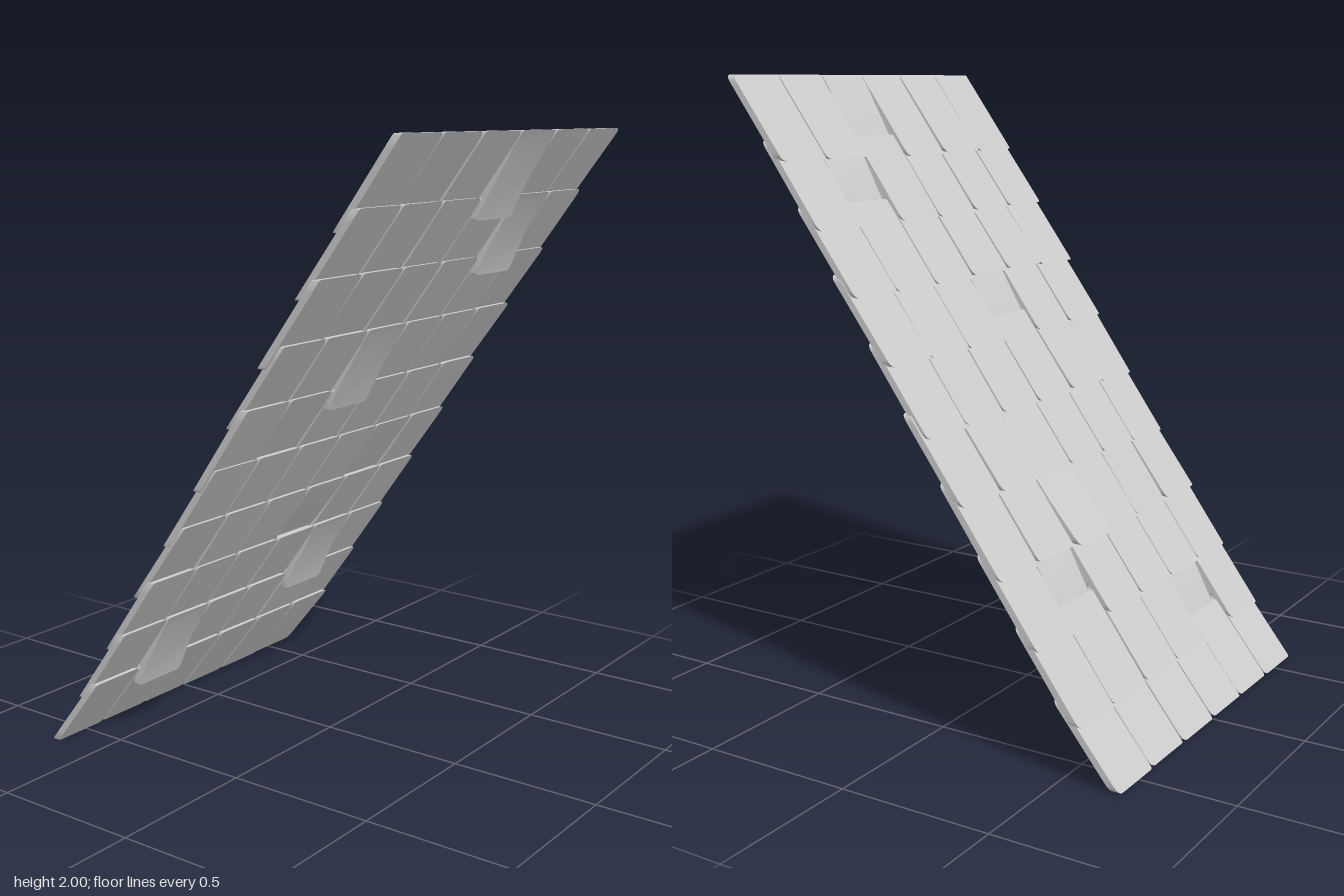
import * as THREE from 'three';
import { toCreasedNormals } from 'three/addons/utils/BufferGeometryUtils.js';

const ROWS = 10, COLS = 6;
const PITCH_Y = 0.1955, PITCH_Z = 0.1287, PITCH_X = 0.21;
const DEPTH = 0.027, WIDTH = 0.204;

// Warped shingles, keyed "row,column": positive bends the lower edge inward
const WARPS = { '9,3': 0.036, '8,4': 0.05, '6,2': 0.036, '3,3': -0.02, '2,4': 0.05, '1,1': 0.05 };

function seeded(seed) {
  let s = seed;
  return () => {
    s = (s * 16807) % 2147483647;
    return (s / 2147483647) * 2 - 1;
  };
}

// Rounded outline hanging down from y = 0, with extra points along the sides for bending
function outline(w, h) {
  const s = new THREE.Shape();
  const r = 0.022, q = 0.008, n = 8;
  s.moveTo(-w / 2 + q, -h);
  s.lineTo(w / 2 - r, -h);
  s.quadraticCurveTo(w / 2, -h, w / 2, -h + r);
  for (let i = 1; i <= n; i++) s.lineTo(w / 2, -h + r + (h - 2 * r) * i / n);
  s.quadraticCurveTo(w / 2, 0, w / 2 - r, 0);
  s.lineTo(-w / 2 + q, 0);
  s.quadraticCurveTo(-w / 2, 0, -w / 2, -q);
  for (let i = 1; i <= n; i++) s.lineTo(-w / 2, -q - (h - 2 * q) * i / n);
  s.quadraticCurveTo(-w / 2, -h, -w / 2 + q, -h);
  return s;
}

// Leaning shingle: front face at z = 0 along its top edge, lower edge set back
function shingleGeometry(w, h, lean, warp) {
  const g = new THREE.ExtrudeGeometry(outline(w, h), { depth: DEPTH, bevelEnabled: false, curveSegments: 4 });
  const p = g.attributes.position;
  for (let i = 0; i < p.count; i++) {
    const t = -p.getY(i) / h;
    p.setZ(i, p.getZ(i) - DEPTH - lean * t + warp * t * t);
  }
  g.computeVertexNormals();
  return toCreasedNormals(g, 0.6);
}

export function createModel() {
  const roof = new THREE.Group();
  roof.name = 'shingleRoofPanel';
  const material = new THREE.MeshStandardMaterial({ color: 0xcccccc });
  const rand = seeded(4271);

  for (let r = 0; r < ROWS; r++) {
    const course = new THREE.Group();
    course.name = `shingleCourse${r + 1}`;
    const topY = 0.24 + r * PITCH_Y;
    course.position.set(0, topY, -0.471 + r * PITCH_Z);
    const shift = rand() * 0.004;
    for (let c = 0; c < COLS; c++) {
      const h = r === 0 ? 0.238 + 0.002 * rand() : 0.262 + 0.006 * rand();
      const lean = 0.192 + 0.004 * rand();
      const warp = WARPS[`${r},${c}`] || 0;
      const shingle = new THREE.Mesh(shingleGeometry(WIDTH, h, lean, warp), material);
      shingle.name = 'shingle';
      shingle.position.x = (c - (COLS - 1) / 2) * PITCH_X + shift + rand() * 0.002;
      course.add(shingle);
    }
    roof.add(course);
  }
  return roof;
}
